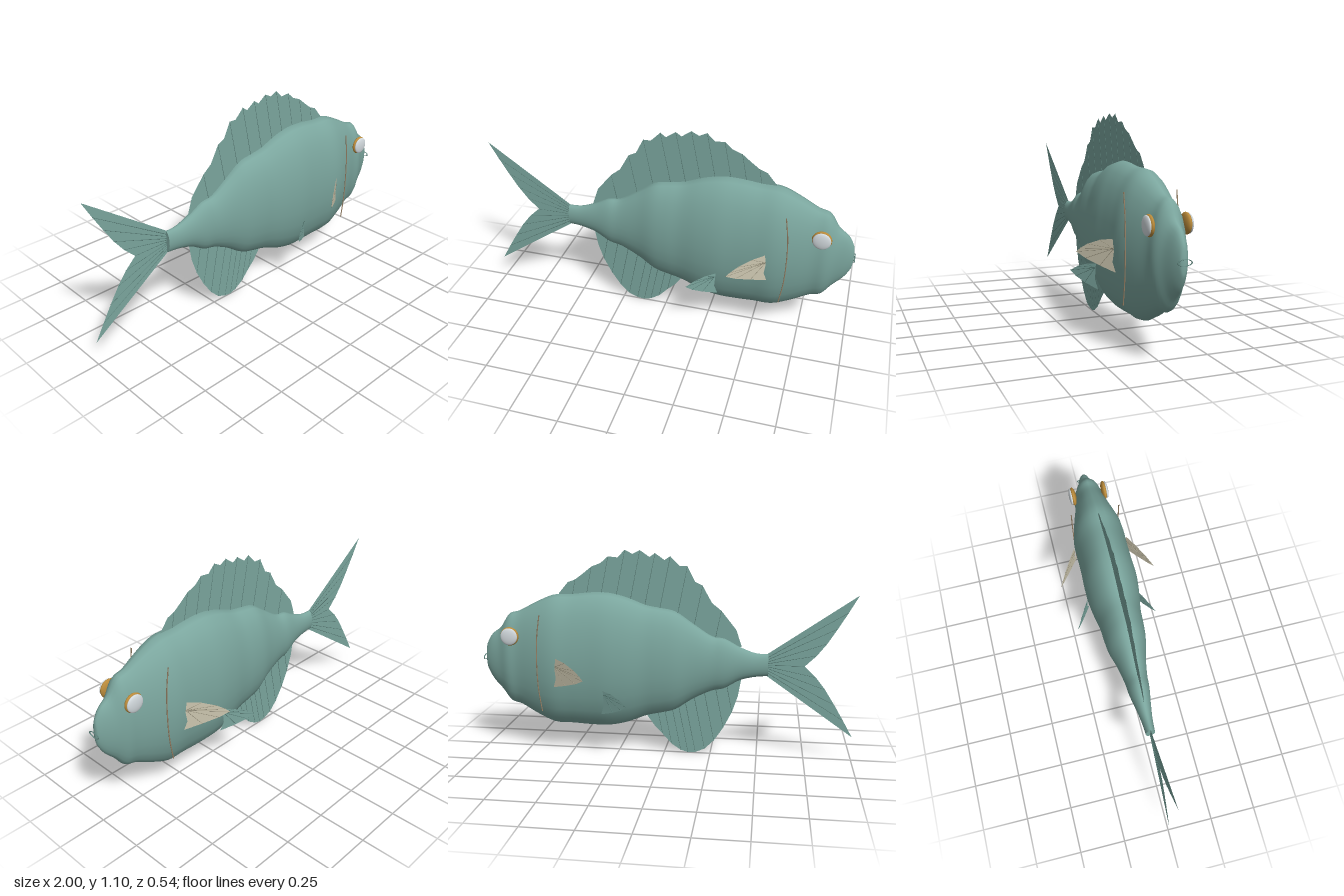
import * as THREE from 'three';

const mat = (name, color, side = THREE.FrontSide) => {
  const m = new THREE.MeshStandardMaterial({ color, side });
  m.name = name;
  return m;
};

export function createModel() {
  const fish = new THREE.Group();
  fish.name = 'fish';
  const skin = mat('skin teal', 0x7ba69e);
  const finTeal = mat('fin teal', 0x7ba69e, THREE.DoubleSide);
  const finCream = mat('fin cream', 0xcdc7b0, THREE.DoubleSide);
  const rayTeal = mat('ray dark teal', 0x5d837c);
  const rayCream = mat('ray dark cream', 0xa59f89);
  const gillTan = mat('gill brown', 0x9a8468);
  const gold = mat('eye gold', 0xb98a3a);
  const white = mat('eye white', 0xd3dade);

  const add = (name, geo, material, parent = fish) => {
    const m = new THREE.Mesh(geo, material);
    m.name = name;
    parent.add(m);
    return m;
  };

  // Body stations: x, back height, belly height, half width
  const stations = [
    [-0.55, 0.565, 0.447, 0.025], [-0.48, 0.57, 0.44, 0.03], [-0.4, 0.6, 0.418, 0.042],
    [-0.32, 0.642, 0.372, 0.056], [-0.25, 0.655, 0.355, 0.062], [-0.15, 0.72, 0.305, 0.08],
    [-0.06, 0.78, 0.245, 0.104], [0.02, 0.798, 0.222, 0.113], [0.1, 0.812, 0.203, 0.118],
    [0.2, 0.85, 0.163, 0.136], [0.3, 0.873, 0.14, 0.146], [0.4, 0.873, 0.138, 0.143],
    [0.5, 0.862, 0.143, 0.142], [0.6, 0.857, 0.146, 0.142], [0.7, 0.815, 0.188, 0.117],
    [0.79, 0.768, 0.238, 0.089], [0.85, 0.748, 0.258, 0.08], [0.9, 0.675, 0.322, 0.056],
    [0.95, 0.635, 0.378, 0.036], [0.98, 0.585, 0.432, 0.02], [0.988, 0.545, 0.465, 0.01],
    [0.99, 0.506, 0.504, 0.0005],
  ];
  const profile = (k) => new THREE.SplineCurve(stations.map((s) => new THREE.Vector2(s[0], s[k])));
  const [back, belly, width] = [1, 2, 3].map(profile);
  const rings = 84, sides = 24, pos = [], idx = [];
  for (let i = 0; i <= rings; i++) {
    const t = i / rings, b = back.getPoint(t), l = belly.getPoint(t).y, w = width.getPoint(t).y;
    for (let j = 0; j < sides; j++) {
      const a = (j / sides) * Math.PI * 2;
      pos.push(b.x, (b.y + l) / 2 + ((b.y - l) / 2) * Math.cos(a), w * Math.sin(a));
      if (i === rings) continue;
      const p = i * sides + j, q = i * sides + ((j + 1) % sides);
      idx.push(p, q, p + sides, q, q + sides, p + sides);
    }
  }
  const bodyGeo = new THREE.BufferGeometry();
  bodyGeo.setAttribute('position', new THREE.Float32BufferAttribute(pos, 3));
  bodyGeo.setIndex(idx);
  bodyGeo.computeVertexNormals();
  add('body', bodyGeo, skin);
  const stump = add('tailStump', new THREE.CircleGeometry(1, sides), skin);
  stump.scale.set(0.025, 0.059, 1);
  stump.rotation.y = -Math.PI / 2;
  stump.position.set(-0.55, 0.506, 0);

  // A flat fin from an outline, with thin rays; depth(x) gives its z
  const fin = (name, outline, rays, material, rayMaterial, depth = () => 0) => {
    const g = new THREE.Group();
    g.name = name;
    fish.add(g);
    const geo = new THREE.ShapeGeometry(new THREE.Shape(outline.map((p) => new THREE.Vector2(...p))));
    const P = geo.attributes.position;
    for (let i = 0; i < P.count; i++) P.setZ(i, depth(P.getX(i)));
    geo.computeVertexNormals();
    add(name + 'Web', geo, material, g);
    for (const [x0, y0, x1, y1] of rays) {
      const a = new THREE.Vector3(x0, y0, depth(x0)), b = new THREE.Vector3(x1, y1, depth(x1));
      const ray = add(name + 'Ray', new THREE.CylinderGeometry(0.0012, 0.002, a.distanceTo(b), 5), rayMaterial, g);
      ray.position.copy(a).lerp(b, 0.5);
      ray.quaternion.setFromUnitVectors(new THREE.Vector3(0, 1, 0), b.sub(a).normalize());
    }
  };

  // Dorsal fin with a scalloped edge
  const dorsal = [
    [-0.41, 0.6], [-0.38, 0.69], [-0.3, 0.79], [-0.25, 0.83], [-0.2, 0.92], [-0.16, 0.94],
    [-0.12, 1.02], [-0.08, 1.02], [-0.03, 1.07], [0, 1.05], [0.05, 1.085], [0.08, 1.065],
    [0.13, 1.1], [0.17, 1.08], [0.21, 1.1], [0.25, 1.06], [0.3, 1.065], [0.34, 1.03],
    [0.39, 1.01], [0.44, 0.97], [0.48, 0.94], [0.52, 0.925], [0.57, 0.865],
  ];
  const dorsalRays = dorsal.filter((p, i) => i % 2 === 0 && i > 1 && i < 21)
    .map(([x, y]) => [x + (y - 0.6) * 0.2, 0.6, x, y]);
  fin('dorsalFin', [...dorsal, [0.57, 0.8], [0.3, 0.7], [0, 0.65], [-0.2, 0.57]], dorsalRays, finTeal, rayTeal);

  // Anal fin
  const anal = [
    [-0.41, 0.42], [-0.395, 0.33], [-0.365, 0.24], [-0.32, 0.15], [-0.27, 0.075], [-0.22, 0.025],
    [-0.17, 0.004], [-0.13, 0], [-0.09, 0.012], [-0.04, 0.045], [0.01, 0.1], [0.05, 0.14], [0.1, 0.21],
  ];
  const analRays = anal.slice(2, 11).map(([x, y]) => [x + (0.4 - y) * 0.2, 0.4, x, y]);
  fin('analFin', [...anal, [0.1, 0.3], [-0.2, 0.45]], analRays, finTeal, rayTeal);

  // Forked tail fin
  const upper = [[-1, 0.885], [-0.95, 0.795], [-0.9, 0.71], [-0.85, 0.63], [-0.8, 0.565], [-0.74, 0.506]];
  const lower = upper.slice(0, 5).reverse().map(([x, y]) => [x, 1.013 - y]);
  const tailRays = [...upper.slice(1), ...lower.slice(0, 4)]
    .map(([x, y]) => [-0.55, 0.506 + (y - 0.506) * 0.15, x, y]);
  fin('tailFin', [[-0.54, 0.563], ...upper, ...lower, [-0.54, 0.45]], tailRays, finTeal, rayTeal);

  // Paired parts, mirrored across the body
  for (const s of [1, -1]) {
    const side = s > 0 ? 'left' : 'right';
    const tag = (n) => side + n;

    const pectoral = [
      [0.56, 0.54], [0.5, 0.527], [0.44, 0.5], [0.405, 0.475], [0.385, 0.455],
      [0.43, 0.43], [0.5, 0.405], [0.575, 0.382], [0.56, 0.43], [0.566, 0.48],
    ];
    fin(tag('PectoralFin'), pectoral, pectoral.slice(1, 7).map(([x, y]) => [0.565, 0.495, x, y]),
      finCream, rayCream, (x) => s * (0.14 + (0.575 - x) * 0.67));

    const pelvic = [
      [0.31, 0.37], [0.26, 0.362], [0.21, 0.342], [0.17, 0.315],
      [0.2, 0.29], [0.25, 0.265], [0.322, 0.24], [0.305, 0.29], [0.308, 0.34],
    ];
    fin(tag('PelvicFin'), pelvic, pelvic.slice(1, 6).map(([x, y]) => [0.305, 0.35, x, y]),
      finTeal, rayTeal, (x) => s * (0.132 + (0.322 - x) * 0.62));

    // Gill line, a flat arc
    const gill = new THREE.CatmullRomCurve3([
      [0.645, 0.765], [0.662, 0.64], [0.667, 0.505], [0.662, 0.37], [0.645, 0.245],
    ].map(([x, y]) => new THREE.Vector3(x, y, s * 0.131)));
    add(tag('GillLine'), new THREE.TubeGeometry(gill, 32, 0.003, 6), gillTan);

    // Eye: gold rim with a pale lens
    const rim = add(tag('EyeRim'), new THREE.SphereGeometry(0.05, 28, 18), gold);
    rim.scale.z = 0.34;
    rim.position.set(0.825, 0.64, s * 0.088);
    const lens = add(tag('EyeLens'), new THREE.SphereGeometry(0.046, 28, 18), white);
    lens.scale.z = 0.25;
    lens.position.set(0.825, 0.64, s * 0.1);
  }

  // Mouth ring
  const mouth = add('mouth', new THREE.TorusGeometry(0.033, 0.003, 8, 28), rayTeal);
  mouth.rotation.y = Math.PI / 2;
  mouth.scale.y = 0.42;
  mouth.position.set(0.994, 0.505, 0);

  return fish;
}
